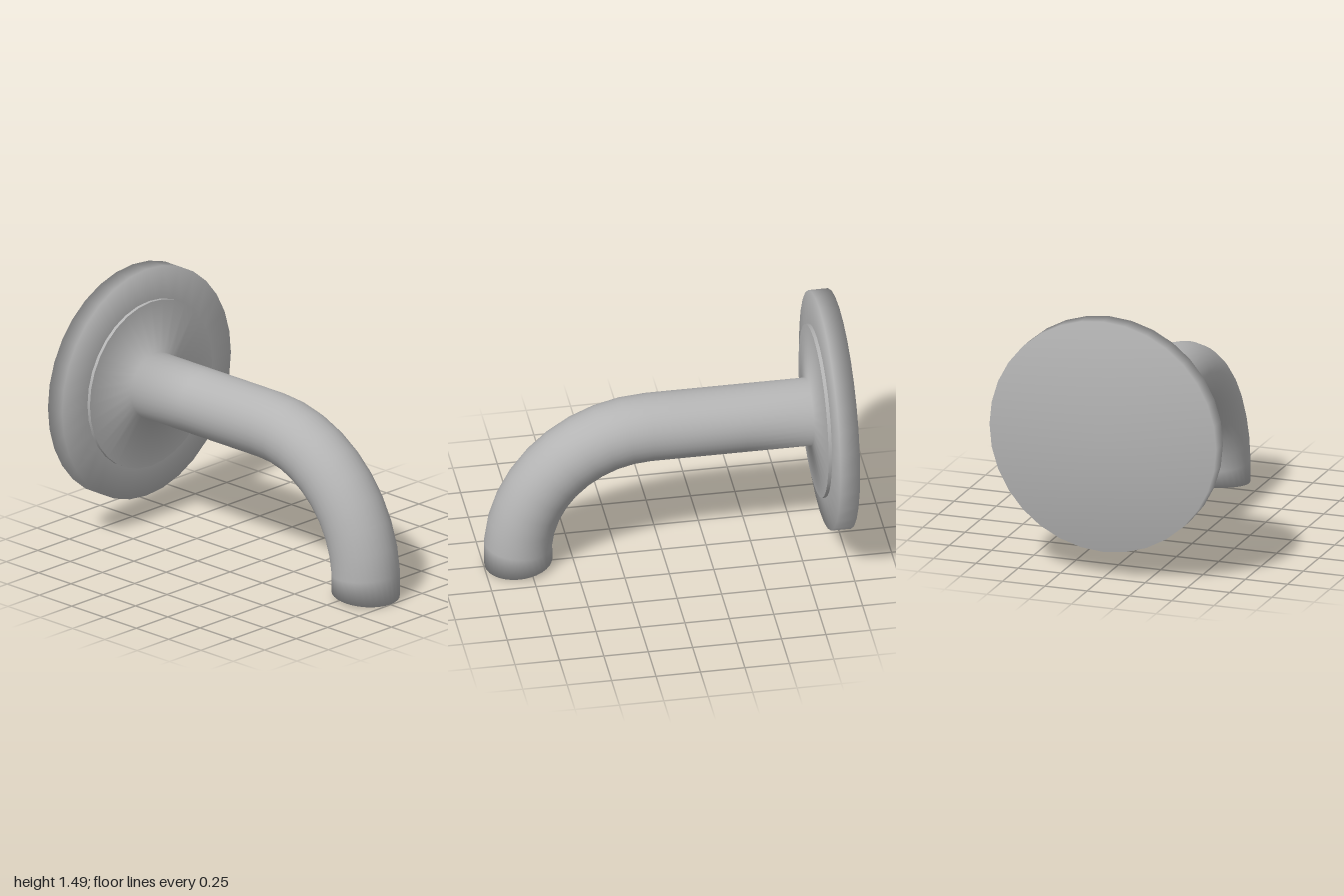
import * as THREE from 'three';

const SIDES = 32;
const AXIS_Y = 0.825;

// Smooth skin through circular sections { x, y, r, a }, where a is the downward turn of the path.
function loft(sections, capStart, capEnd) {
  const positions = [];
  const index = [];
  for (const { x, y, r, a } of sections) {
    for (let j = 0; j < SIDES; j++) {
      const t = (j / SIDES) * Math.PI * 2;
      const up = r * Math.cos(t);
      positions.push(x + up * Math.sin(a), y + up * Math.cos(a), r * Math.sin(t));
    }
  }
  for (let i = 0; i < sections.length - 1; i++) {
    for (let j = 0; j < SIDES; j++) {
      const k = (j + 1) % SIDES;
      const p = i * SIDES, q = p + SIDES;
      index.push(p + j, p + k, q + j, p + k, q + k, q + j);
    }
  }
  const cap = (i, flip) => {
    const centre = positions.length / 3;
    positions.push(sections[i].x, sections[i].y, 0);
    for (let j = 0; j < SIDES; j++) {
      const a = i * SIDES + j, b = i * SIDES + ((j + 1) % SIDES);
      index.push(centre, flip ? b : a, flip ? a : b);
    }
  };
  if (capStart) cap(0, true);
  if (capEnd) cap(sections.length - 1, false);
  const geometry = new THREE.BufferGeometry();
  geometry.setAttribute('position', new THREE.Float32BufferAttribute(positions, 3));
  geometry.setIndex(index);
  geometry.computeVertexNormals();
  return geometry;
}

export function createModel() {
  const group = new THREE.Group();
  const metal = new THREE.MeshStandardMaterial({ color: 0xb4b4b4 });
  metal.name = 'brushed metal';

  const add = (name, geometry) => {
    const mesh = new THREE.Mesh(geometry, metal);
    mesh.name = name;
    group.add(mesh);
  };
  const straight = (x, r) => ({ x, y: AXIS_Y, r, a: 0 });

  // Wall flange: flat back, rim and shallow tapered face
  add('wallFlange', loft([
    straight(-1, 0.67), straight(-0.89, 0.67), straight(-0.873, 0.47),
  ], true, true));

  // Thin edge of the raised collar
  add('collarEdge', loft([straight(-0.885, 0.485), straight(-0.855, 0.485)], false, false));

  // Collar face flowing into the straight pipe, then the downward bend
  const sections = [
    straight(-0.855, 0.485), straight(-0.825, 0.19),
    straight(-0.45, 0.19), straight(-0.1, 0.19),
  ];
  const bendX = 0.075, bendY = 0.09, bendRadius = 0.735;
  const steps = 10, turn = THREE.MathUtils.degToRad(95.4);
  for (let i = 0; i <= steps; i++) {
    const a = (turn * i) / steps;
    sections.push({
      x: bendX + bendRadius * Math.sin(a),
      y: bendY + bendRadius * Math.cos(a),
      r: 0.19,
      a,
    });
  }
  add('spout', loft(sections, false, true));

  return group;
}
